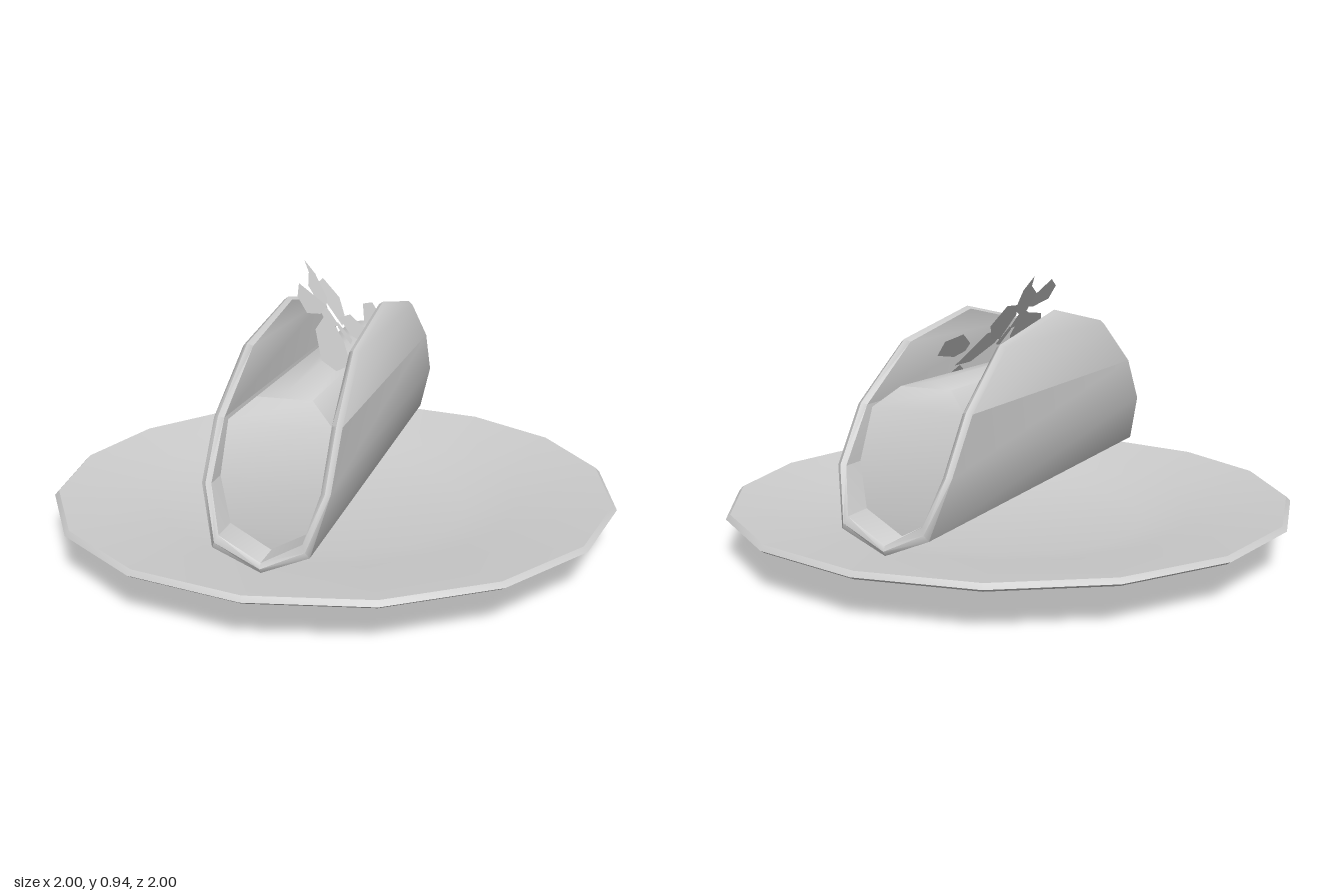
import * as THREE from 'three';
import { toCreasedNormals } from 'three/addons/utils/BufferGeometryUtils.js';

const grey = new THREE.MeshStandardMaterial({ color: 0xcccccc });
const greyThin = new THREE.MeshStandardMaterial({ color: 0xcccccc, side: THREE.DoubleSide });

function part(name, geometry, material = grey) {
  const mesh = new THREE.Mesh(geometry, material);
  mesh.name = name;
  return mesh;
}

function surface(points, index, crease) {
  const g = new THREE.BufferGeometry();
  g.setAttribute('position', new THREE.Float32BufferAttribute(points.flat(), 3));
  g.setIndex(index);
  return toCreasedNormals(g, crease);
}

// Sixteen-sided plate with a foot ring and a shallow well
function makePlate() {
  const profile = [
    [0, 0.005], [0.45, 0.005], [0.49, 0.025], [0.49, 0.05], [0.985, 0.135],
    [1, 0.145], [0.985, 0.16], [0.65, 0.11], [0.48, 0.075], [0, 0.075],
  ].map(([r, y]) => new THREE.Vector2(r, y));
  return part('plate', toCreasedNormals(new THREE.LatheGeometry(profile, 16), 0.5));
}

// Folded disc: each row runs along z, from one rim over the fold to the other
function makeShell() {
  // outer x, outer y, inner x, inner y, half length, rim lift
  const half = [
    [0.185, 0.815, 0.157, 0.815, 0, 0.01],
    [0.192, 0.74, 0.159, 0.74, 0.415, 0.01],
    [0.203, 0.57, 0.17, 0.57, 0.655, 0.006],
    [0.2, 0.4, 0.17, 0.4, 0.775, 0.003],
    [0.152, 0.22, 0.13, 0.26, 0.83, 0],
    [0, 0.155, 0, 0.187, 0.83, 0],
  ];
  const mirrored = half.slice(0, -1).reverse().map(([a, b, c, ...rest]) => [-a, b, -c, ...rest]);
  const rows = [...half, ...mirrored];
  const points = [];
  const index = [];
  for (const [xo, yo, xi, yi, z, lift] of rows) {
    const zi = Math.max(0, z - 0.01);
    const xm = (xo + xi) / 2;
    const ym = (yo + yi) / 2 + lift;
    points.push([xo, yo, zi], [xm, ym, z], [xi, yi, zi], [xi, yi, -zi], [xm, ym, -z], [xo, yo, -zi]);
  }
  for (let i = 0; i < rows.length - 1; i++) {
    for (let j = 0; j < 6; j++) {
      const k = (j + 1) % 6;
      const a = i * 6 + j, b = i * 6 + k, c = b + 6, d = a + 6;
      index.push(a, b, c, a, c, d);
    }
  }
  return part('tacoShell', surface(points, index, 0.96));
}

// Rounded filling with sloping ends, lofted from rows of x, y and half length
function makeFilling() {
  const rows = [
    [0, 0.64, 0.54], [0.09, 0.624, 0.575], [0.165, 0.56, 0.625],
    [0.17, 0.4, 0.69], [0.13, 0.26, 0.72], [0, 0.19, 0.725],
  ];
  const points = [];
  const index = [];
  // four corners per row: right back, right front, left front, left back
  for (const [x, y, z] of rows) points.push([x, y, -z], [x, y, z], [-x, y, z], [-x, y, -z]);
  for (let i = 0; i < rows.length - 1; i++) {
    for (let j = 0; j < 4; j++) {
      const k = (j + 1) % 4;
      const a = i * 4 + j, b = i * 4 + k, c = b + 4, d = a + 4;
      // the order turns the faces outwards on the sides and both ends
      index.push(a, c, b, a, d, c);
    }
  }
  for (let i = 0; i < index.length; i += 3) {
    [index[i + 1], index[i + 2]] = [index[i + 2], index[i + 1]];
    [index[i + 1], index[i + 2]] = [index[i + 2], index[i + 1]];
  }
  return part('filling', surface(points, fixWinding(points, index), 1.0));
}

// Turn every triangle of a convex form away from its middle
function fixWinding(points, index) {
  const centre = new THREE.Vector3(0, 0.42, 0);
  const out = [];
  for (let i = 0; i < index.length; i += 3) {
    const t = index.slice(i, i + 3);
    const tri = new THREE.Triangle(...t.map((n) => new THREE.Vector3(...points[n])));
    const normal = tri.getNormal(new THREE.Vector3());
    const away = tri.getMidpoint(new THREE.Vector3()).sub(centre);
    out.push(...(normal.dot(away) < 0 ? [t[0], t[2], t[1]] : t));
  }
  return out;
}

// Flat leaf: outline in x and z, laid on the tilted plane y = base - slope * x
function makeLeaf(base, slope, outline) {
  const g = new THREE.ShapeGeometry(new THREE.Shape(outline.map(([x, z]) => new THREE.Vector2(x, z))));
  const p = g.attributes.position;
  for (let i = 0; i < p.count; i++) {
    const x = p.getX(i);
    p.setXYZ(i, x, base - slope * x, p.getY(i));
  }
  g.computeVertexNormals();
  return part('leaf', g, greyThin);
}

function makeLeaves() {
  const group = new THREE.Group();
  group.name = 'leaves';
  const sprigs = [
    // front sprig
    [0.77, 1.25, [[-0.01, 0.08], [-0.085, 0.04], [-0.11, -0.05], [-0.139, -0.09], [-0.1, -0.095], [-0.04, -0.04]]],
    [0.8, 1.3, [[0, 0.1], [0.07, 0.14], [0.115, 0.22], [0.105, 0.36], [0.07, 0.41], [0.015, 0.29]]],
    [0.82, 1.45, [[0, 0.1], [-0.065, 0.21], [-0.045, 0.29], [-0.01, 0.3], [0.005, 0.2]]],
    [0.78, 1.3, [[-0.03, 0.04], [0.03, 0.05], [0.015, 0.14], [-0.015, 0.12]]],
    [0.78, 1.3, [[0.02, 0.04], [0.07, 0.025], [0.075, 0.065], [0.03, 0.07]]],
    // back sprig
    [0.73, 1.1, [[0.01, -0.06], [-0.075, -0.1], [-0.11, -0.16], [-0.113, -0.24], [-0.05, -0.24], [0, -0.14]]],
    [0.8, 1.4, [[0.06, -0.18], [0.03, -0.28], [0.04, -0.385], [0.075, -0.375], [0.09, -0.24], [0.08, -0.18]]],
    [0.77, 1.2, [[0.01, -0.01], [0.02, -0.13], [0.11, -0.2], [0.11, -0.09], [0.06, 0]]],
    [0.75, 1.2, [[0.09, -0.2], [0.12, -0.24], [0.145, -0.09], [0.11, -0.14]]],
  ];
  for (const leaf of sprigs) group.add(makeLeaf(...leaf));
  return group;
}

export function createModel() {
  const model = new THREE.Group();
  model.name = 'tacoOnPlate';
  model.add(makePlate(), makeShell(), makeFilling(), makeLeaves());
  return model;
}
